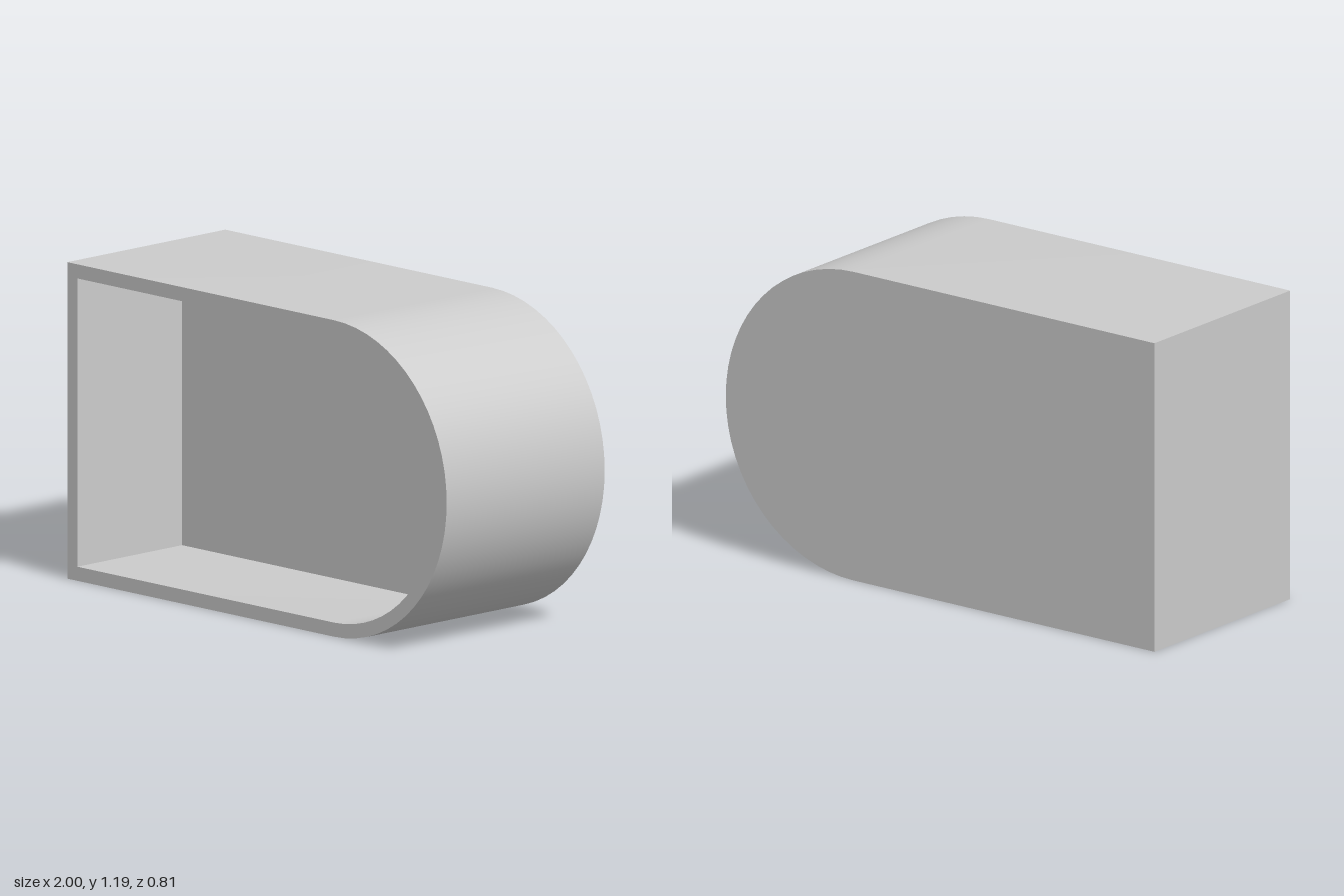
import * as THREE from 'three';
import { toCreasedNormals } from 'three/addons/utils/BufferGeometryUtils.js';

const RADIUS = 0.595;   // rounded end, half the height
const DEPTH = 0.81;
const WALL = 0.053;
const CAVITY = 0.537;   // depth of the recess
const STEPS = 32;       // facets on the rounded end

// Outline with a square left end and a round right end, pulled in by inset
function outline(inset, z) {
  const r = RADIUS - inset;
  const cx = 1 - RADIUS;
  const points = [new THREE.Vector3(-1 + inset, inset, z)];
  for (let i = 0; i <= STEPS; i++) {
    const a = -Math.PI / 2 + (Math.PI * i) / STEPS;
    points.push(new THREE.Vector3(cx + r * Math.cos(a), RADIUS + r * Math.sin(a), z));
  }
  points.push(new THREE.Vector3(-1 + inset, 2 * RADIUS - inset, z));
  return points;
}

// Skin a series of closed loops, closing the first and last with a fan
function skin(loops) {
  const count = loops[0].length;
  const verts = [];
  const tri = (a, b, c) => [a, b, c].forEach((p) => verts.push(p.x, p.y, p.z));
  const first = loops[0];
  const last = loops[loops.length - 1];
  const startCentre = new THREE.Vector3(0, RADIUS, first[0].z);
  const endCentre = new THREE.Vector3(0, RADIUS, last[0].z);
  for (let i = 0; i < count; i++) {
    const j = (i + 1) % count;
    tri(startCentre, first[j], first[i]);
    for (let k = 0; k < loops.length - 1; k++) {
      const a = loops[k];
      const b = loops[k + 1];
      tri(a[i], a[j], b[j]);
      tri(a[i], b[j], b[i]);
    }
    tri(endCentre, last[i], last[j]);
  }
  const geometry = new THREE.BufferGeometry();
  geometry.setAttribute('position', new THREE.Float32BufferAttribute(verts, 3));
  return toCreasedNormals(geometry, Math.PI / 6);
}

export function createModel() {
  const front = DEPTH / 2;
  const group = new THREE.Group();
  group.name = 'roundEndedTray';

  // Outer wall, front rim, inner wall and recess floor in one closed skin
  const housing = new THREE.Mesh(
    skin([
      outline(0, -front),
      outline(0, front),
      outline(WALL, front),
      outline(WALL, front - CAVITY),
    ]),
    new THREE.MeshStandardMaterial({ color: 0xcccccc })
  );
  housing.name = 'housing';
  group.add(housing);
  return group;
}
